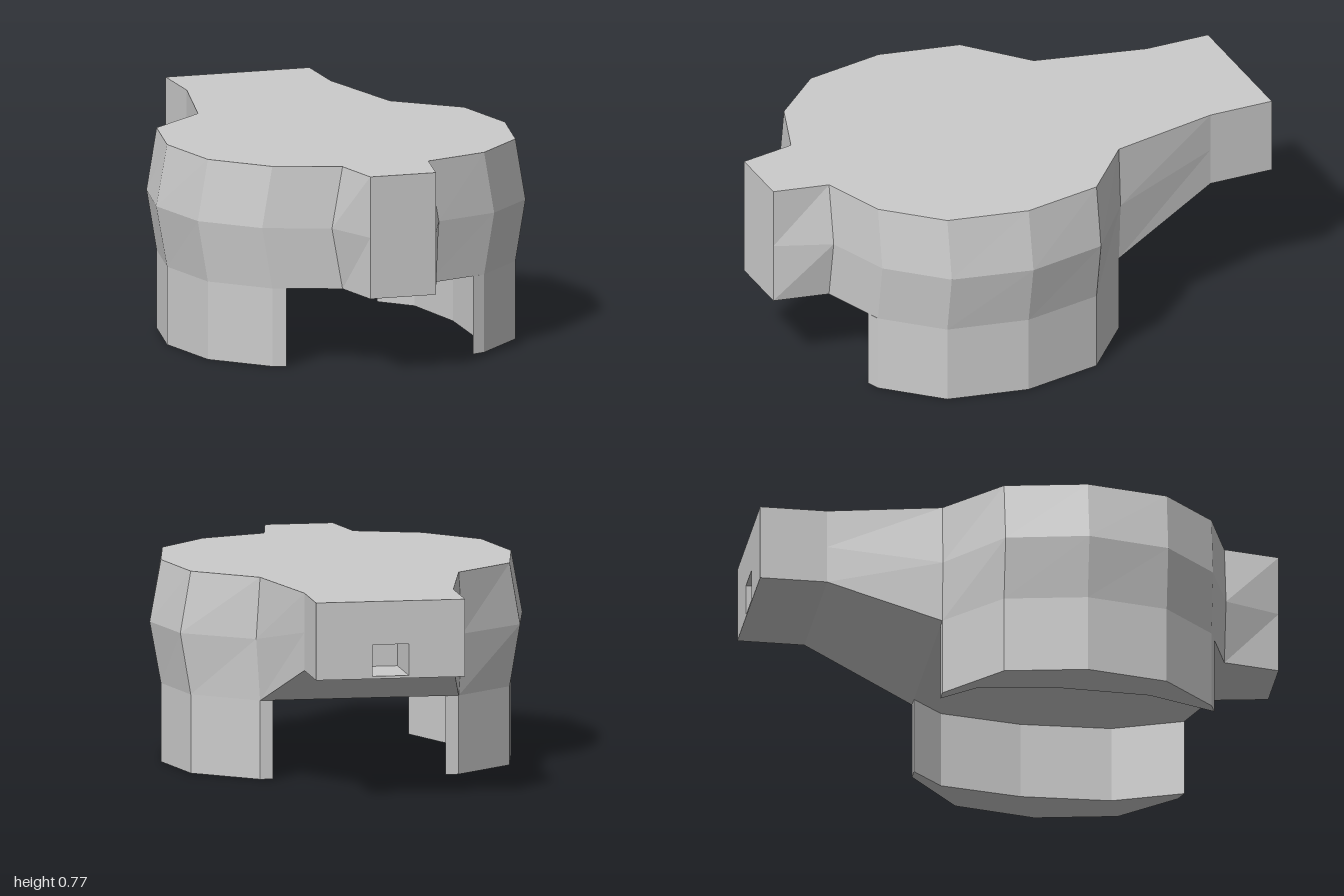
import * as THREE from 'three';

const material = new THREE.MeshStandardMaterial({ color: 0xcccccc, flatShading: true });

// Half outline of the body, front to back:
// [z, half width at top and bottom, half width at the waist, bottom y, waist y]
const TOP = 0.77;
const stations = [
  [1.0, 0.13, 0.13, 0.3, 0.535],
  [0.787, 0.17, 0.212, 0.3, 0.535],
  [0.7, 0.42, 0.46, 0.3, 0.535],
  [0.5, 0.61, 0.65, 0.3, 0.535],
  [0.19, 0.67, 0.713, 0.3, 0.535],
  [-0.12, 0.61, 0.65, 0.3, 0.535],
  [-0.32, 0.38, 0.395, 0.3, 0.535],
  [-0.745, 0.285, 0.285, 0.475, 0.62],
  [-1.0, 0.285, 0.285, 0.475, 0.62],
];

function bodyGeometry() {
  const positions = [];
  const quad = (a, b, c, d) => positions.push(...a, ...b, ...c, ...a, ...c, ...d);
  // Corner of a station: side is +1 or -1, level is 0 bottom, 1 waist, 2 top
  const point = (i, side, level) => {
    const [z, edge, waist, low, mid] = stations[i];
    return [side * (level === 1 ? waist : edge), [low, mid, TOP][level], z];
  };
  for (let i = 0; i < stations.length - 1; i++) {
    for (let k = 0; k < 2; k++) {
      quad(point(i, 1, k), point(i + 1, 1, k), point(i + 1, 1, k + 1), point(i, 1, k + 1));
      quad(point(i + 1, -1, k), point(i, -1, k), point(i, -1, k + 1), point(i + 1, -1, k + 1));
    }
    quad(point(i, -1, 2), point(i, 1, 2), point(i + 1, 1, 2), point(i + 1, -1, 2));
    quad(point(i + 1, -1, 0), point(i + 1, 1, 0), point(i, 1, 0), point(i, -1, 0));
  }
  // Front face of the nose
  for (let k = 0; k < 2; k++) {
    quad(point(0, -1, k), point(0, 1, k), point(0, 1, k + 1), point(0, -1, k + 1));
  }
  const geometry = new THREE.BufferGeometry();
  geometry.setAttribute('position', new THREE.Float32BufferAttribute(positions, 3));
  geometry.computeVertexNormals();
  return geometry;
}

// Curved side skirt: follows the body outside, tapers to a point at the front
function skirtGeometry(side) {
  const outer = [[0.37, 0.718], [0.42, 0.7], [0.61, 0.5], [0.67, 0.19], [0.61, -0.12], [0.38, -0.32]];
  const inner = [[0.33, -0.32], [0.44, -0.2], [0.49, 0.11], [0.475, 0.455]];
  const shape = new THREE.Shape([...outer, ...inner].map(([x, z]) => new THREE.Vector2(side * x, -z)));
  return new THREE.ExtrudeGeometry(shape, { depth: 0.3, bevelEnabled: false }).rotateX(-Math.PI / 2);
}

// Rectangle path for the end plate and its opening
const rectangle = (Type, halfWidth, low, high) =>
  new Type([[-halfWidth, low], [halfWidth, low], [halfWidth, high], [-halfWidth, high]]
    .map(([x, y]) => new THREE.Vector2(x, y)));

export function createModel() {
  const group = new THREE.Group();
  const add = (name, geometry, mat = material) => {
    const mesh = new THREE.Mesh(geometry, mat);
    mesh.name = name;
    group.add(mesh);
    return mesh;
  };

  add('body', bodyGeometry());
  add('leftSkirt', skirtGeometry(1));
  add('rightSkirt', skirtGeometry(-1));

  // Rear end plate with a rectangular socket
  const [halfSlot, slotLow, slotHigh, depth] = [0.07, 0.485, 0.605, 0.25];
  const plate = rectangle(THREE.Shape, 0.285, 0.475, TOP);
  plate.holes.push(rectangle(THREE.Path, halfSlot, slotLow, slotHigh));
  add('tailPlate', new THREE.ShapeGeometry(plate).rotateY(Math.PI).translate(0, 0, -1));

  // Socket walls, seen from inside, open at the rear
  const socket = new THREE.BoxGeometry(halfSlot * 2, slotHigh - slotLow, depth);
  socket.setIndex(Array.from(socket.index.array).slice(0, 30));
  socket.clearGroups();
  socket.translate(0, (slotLow + slotHigh) / 2, -1 + depth / 2);
  const insideMaterial = material.clone();
  insideMaterial.side = THREE.BackSide;
  add('tailSocket', socket, insideMaterial);

  return group;
}
